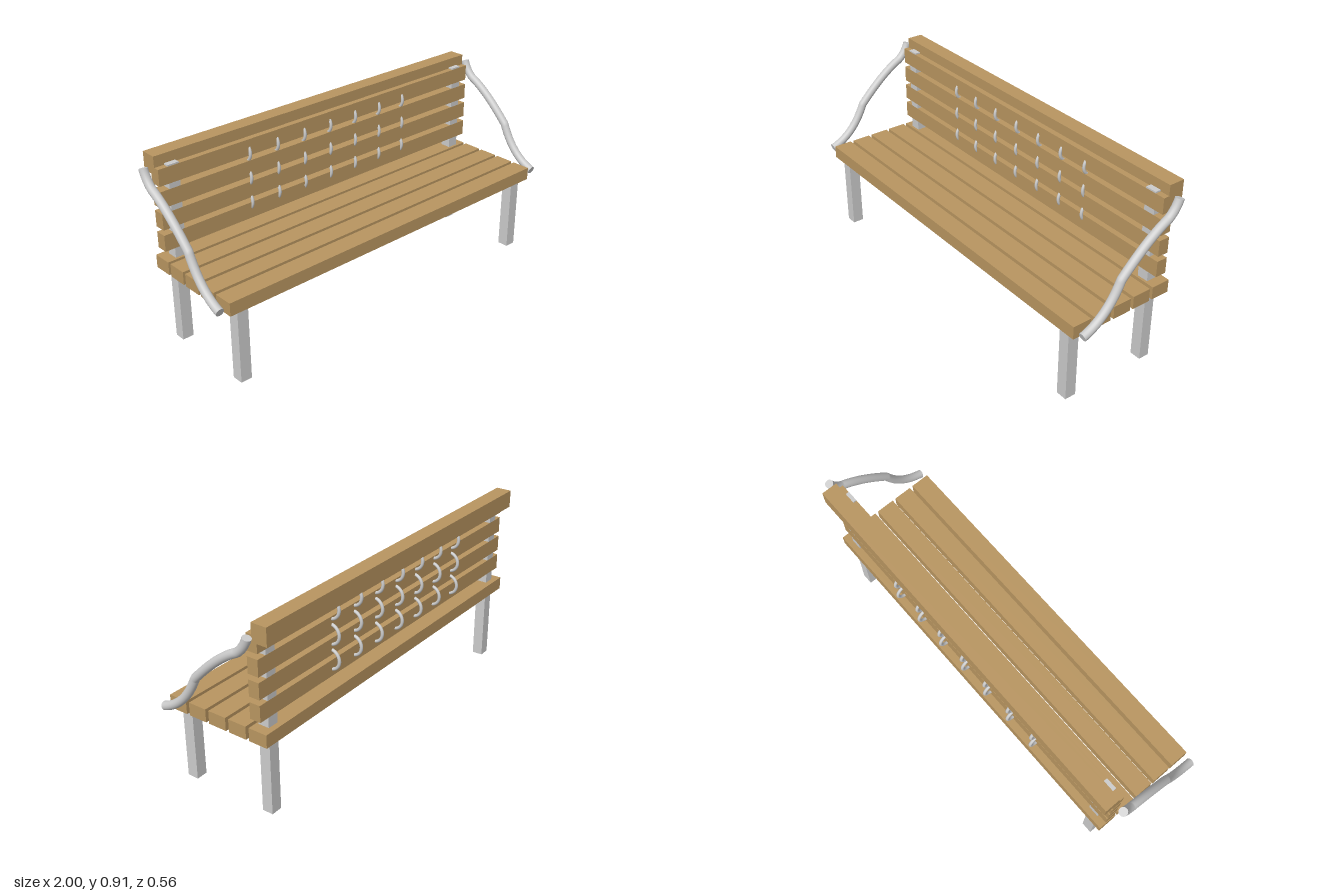
import * as THREE from 'three';

const wood = new THREE.MeshStandardMaterial({ color: 0xb89560 });
const metal = new THREE.MeshStandardMaterial({ color: 0xcccccc });

// Box given by its centre x, width, and y / z ranges
function bar(name, material, x, width, [y0, y1], [z0, z1]) {
  const mesh = new THREE.Mesh(new THREE.BoxGeometry(width, y1 - y0, z1 - z0), material);
  mesh.position.set(x, (y0 + y1) / 2, (z0 + z1) / 2);
  mesh.name = name;
  return mesh;
}

// Bent tubular armrest in the plane x, made of three arcs, with closed ends
function armrest(name, x) {
  const group = new THREE.Group();
  group.name = name;
  const radius = 0.02;
  const p = (z, y) => new THREE.Vector3(x, y, z);
  const path = new THREE.CurvePath();
  path.add(new THREE.QuadraticBezierCurve3(p(0.268, 0.395), p(0.142, 0.438), p(0.075, 0.592)));
  path.add(new THREE.QuadraticBezierCurve3(p(0.075, 0.592), p(-0.06, 0.735), p(-0.16, 0.783)));
  path.add(new THREE.QuadraticBezierCurve3(p(-0.16, 0.783), p(-0.198, 0.812), p(-0.216, 0.863)));
  group.add(new THREE.Mesh(new THREE.TubeGeometry(path, 60, radius, 20), metal));
  for (const t of [0, 1]) {
    const cap = new THREE.Mesh(new THREE.CircleGeometry(radius, 20), metal);
    const end = path.getPointAt(t);
    const outward = path.getTangentAt(t).multiplyScalar(t ? 1 : -1);
    cap.position.copy(end);
    cap.lookAt(end.clone().add(outward));
    cap.name = 'armrestEnd';
    group.add(cap);
  }
  return group;
}

export function createModel() {
  const bench = new THREE.Group();
  bench.name = 'bench';
  const length = 1.876;

  // Seat slats, front to back
  for (let i = 0; i < 5; i++) {
    const z = 0.232 - i * 0.1097;
    bench.add(bar('seatSlat', wood, 0, length, [0.362, 0.424], [z - 0.0465, z + 0.0465]));
  }

  // Backrest slats and the thicker top rail
  for (let i = 0; i < 4; i++) {
    const y = 0.472 + i * 0.1023;
    bench.add(bar('backSlat', wood, 0, length, [y, y + 0.077], [-0.226, -0.172]));
  }
  bench.add(bar('topRail', wood, 0, length, [0.822, 0.907], [-0.277, -0.2]));

  // Legs, rear posts and armrests on both sides
  for (const side of [-1, 1]) {
    const label = side > 0 ? 'left' : 'right';
    bench.add(bar(label + 'FrontLeg', metal, side * 0.863, 0.055, [0, 0.363], [0.204, 0.259]));
    bench.add(bar(label + 'RearPost', metal, side * 0.863, 0.055, [0, 0.863], [-0.2255, -0.1725]));
    bench.add(armrest(label + 'Armrest', side * 0.98));
  }

  // Rings looped through the gaps of the backrest
  const ringGeometry = new THREE.TorusGeometry(0.047, 0.0075, 12, 40).rotateY(Math.PI / 2);
  for (let row = 0; row < 3; row++) {
    for (let col = -3; col <= 3; col++) {
      const ring = new THREE.Mesh(ringGeometry, metal);
      ring.position.set(col * 0.157, 0.549 + row * 0.119, -0.215);
      ring.name = 'backRing';
      bench.add(ring);
    }
  }
  return bench;
}
